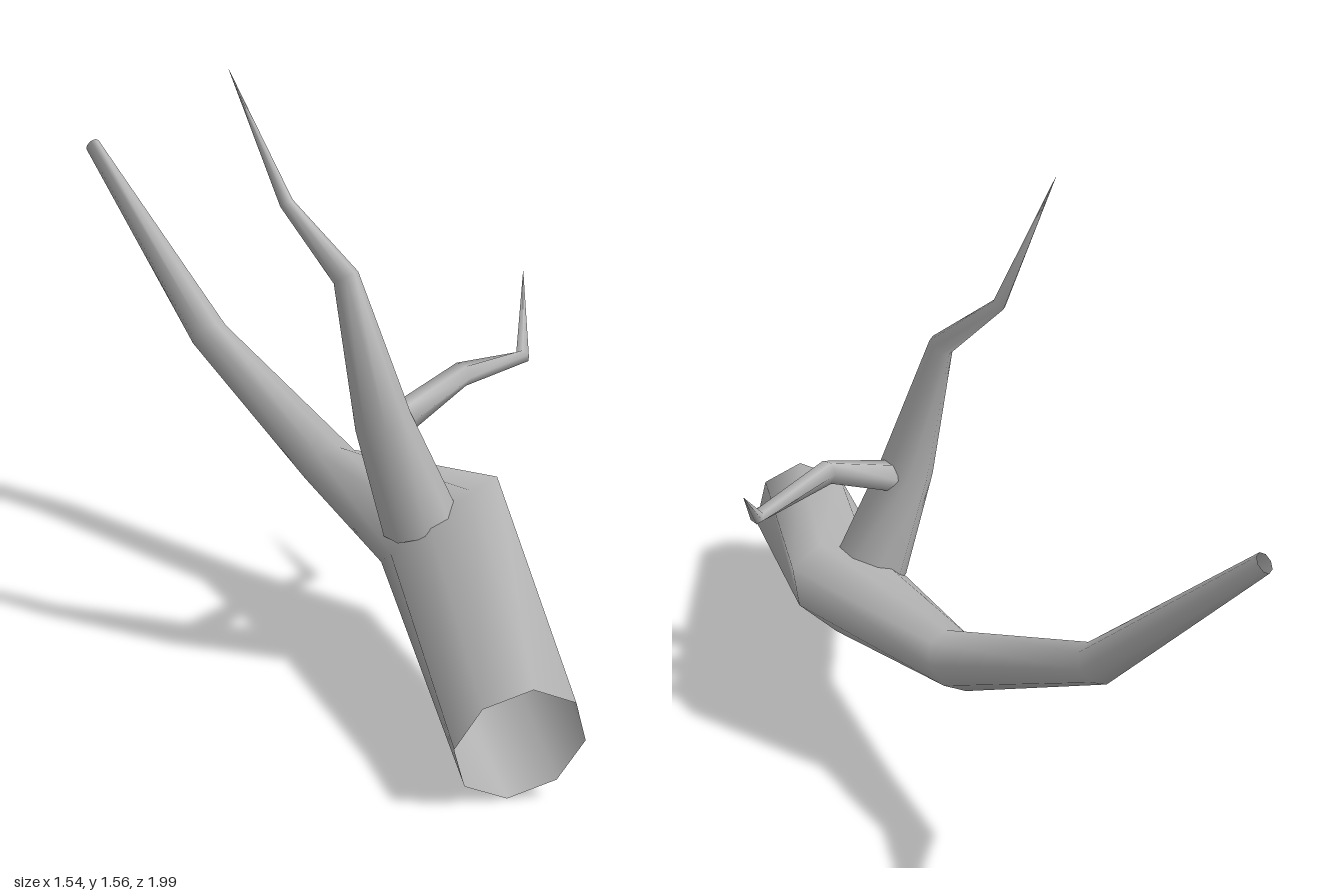
import * as THREE from 'three';

const V3 = (a) => new THREE.Vector3(...a);

// Skins a chain of elliptical rings {c, u, v} into an open, smooth tube
function skin(rings, sides) {
  const pos = [], idx = [];
  rings.forEach(({ c, u, v }, i) => {
    for (let j = 0; j < sides; j++) {
      const a = (j / sides) * Math.PI * 2;
      const p = c.clone().addScaledVector(u, Math.cos(a)).addScaledVector(v, Math.sin(a));
      pos.push(p.x, p.y, p.z);
      if (i === rings.length - 1) continue;
      const k = i * sides + j, n = i * sides + (j + 1) % sides;
      idx.push(k, k + sides, n, n, k + sides, n + sides);
    }
  });
  const g = new THREE.BufferGeometry();
  g.setAttribute('position', new THREE.Float32BufferAttribute(pos, 3));
  g.setIndex(idx);
  g.computeVertexNormals();
  return g;
}

// Round rings set square to a bent path of [x, y, z, radius]
function pathRings(path) {
  const pts = path.map(V3);
  return pts.map((c, i) => {
    const dirs = [];
    if (i > 0) dirs.push(c.clone().sub(pts[i - 1]).normalize());
    if (i < pts.length - 1) dirs.push(pts[i + 1].clone().sub(c).normalize());
    const d = dirs.reduce((s, x) => s.add(x), new THREE.Vector3()).normalize();
    const ref = new THREE.Vector3(0.55, 0.05, -0.83);
    const u = ref.addScaledVector(d, -ref.dot(d)).normalize();
    const v = u.clone().cross(d);
    const r = path[i][3];
    return { c, u: u.multiplyScalar(r), v: v.multiplyScalar(r) };
  });
}

export function createModel() {
  const group = new THREE.Group();
  const bark = new THREE.MeshStandardMaterial({ color: 0xb4b4b4, side: THREE.DoubleSide });
  bark.name = 'grey bark';
  const add = (name, rings, sides) => {
    const mesh = new THREE.Mesh(skin(rings, sides), bark);
    mesh.name = name;
    group.add(mesh);
  };

  // Main limb: centre, sideways half axis, upward half axis of each ring
  const limb = [
    [[0.62, 0.165, 0.935], [0.15, 0, -0.045], [0.03, 0.16, 0.04]],
    [[0.355, 0.385, 0.09], [0.11, 0.03, -0.17], [0.09, 0.1, 0.05]],
    [[0.025, 0.385, -0.275], [0.065, 0, -0.035], [0.03, 0.065, 0.04]],
    [[-0.365, 0.615, -0.66], [0.04, 0, -0.035], [0.025, 0.04, 0.03]],
    [[-0.755, 1.072, -0.983], [0.014, 0, -0.01], [0.012, 0.02, 0.012]],
  ].map(([c, u, v]) => ({ c: V3(c), u: V3(u), v: V3(v) }));
  add('mainLimb', limb, 8);

  // Upright branch ending in a point
  add('uprightBranch', pathRings([
    [0.315, 0.41, 0.185, 0.1],
    [0.22, 0.69, 0.217, 0.073],
    [0.122, 1.058, 0.195, 0.034],
    [-0.04, 1.218, 0.1, 0.018],
    [-0.18, 1.56, 0.12, 0.0005],
  ]), 8);

  // Thin side twig
  add('sideTwig', pathRings([
    [0.262, 0.685, 0.172, 0.042],
    [0.4, 0.758, 0.02, 0.032],
    [0.543, 0.735, -0.213, 0.02],
    [0.527, 0.9, -0.445, 0.0005],
  ]), 6);

  return group;
}
